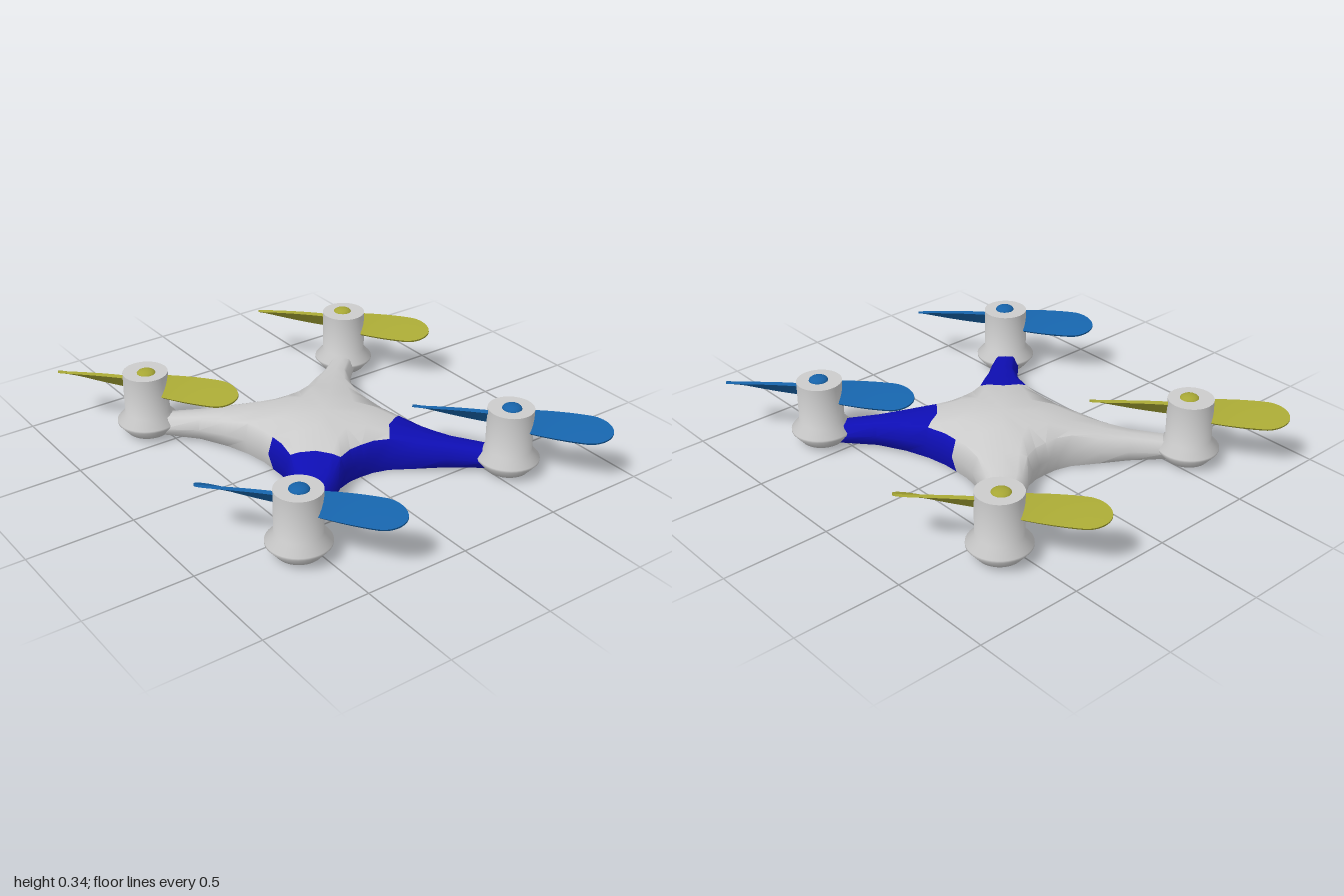
import * as THREE from 'three';
import { toCreasedNormals } from 'three/addons/utils/BufferGeometryUtils.js';

const mat = (color) => new THREE.MeshStandardMaterial({ color, side: THREE.DoubleSide });
const grey = mat(0xcccccc), blue = mat(0x0e0eb4), yellow = mat(0xa6a634), lightBlue = mat(0x1662a8);

function named(geometry, material, name) {
  const mesh = new THREE.Mesh(geometry, material);
  mesh.name = name;
  return mesh;
}

// One quadrant of the shell: inner edge A, ridge C, outer edge B (x, z), then heights
const rows = [
  // A          C             B             top   edge   mid   low   bottom
  [0, .312,     0, 0,         .307, 0,      .22,  .17,   .09,  .002, 0],
  [.06, .315,   .1, .1,       .307, .07,    .217, .17,   .09,  .002, 0],
  [.12, .335,   .205, .225,   .325, .16,    .18,  .167,  .09,  .005, .002],
  [.22, .412,   .295, .335,   .368, .26,    .157, .145,  .085, .014, .007],
  [.33, .488,   .39, .435,    .44, .385,    .135, .122,  .078, .021, .013],
  [.46, .595,   .52, .56,     .565, .515,   .112, .1,    .065, .028, .02],
];

// Closed cross-section: over the top from A to B, then back underneath
function section([ax, az, cx, cz, bx, bz, top, edge, mid, low, bottom]) {
  const toRidge = (x, z) => (v, y) => new THREE.Vector3(x + (cx - x) * v, y, z + (cz - z) * v);
  const inset = (x, z) => Math.min(.3, .025 / Math.hypot(x - cx, z - cz));
  const a = toRidge(ax, az), b = toRidge(bx, bz);
  const ia = inset(ax, az), ib = inset(bx, bz);
  const shoulder = edge + .8 * (top - edge), belly = bottom + .15 * (low - bottom);
  return [
    a(0, mid), a(ia, edge), a(.45, shoulder), a(1, top), b(.45, shoulder), b(ib, edge),
    b(0, mid), b(ib, low), b(.45, belly), b(1, bottom), a(.45, belly), a(ia, low),
  ];
}

function buildShell() {
  const greyTris = [], blueTris = [];
  const sections = rows.map(section);
  for (const sx of [1, -1]) for (const sz of [1, -1]) {
    for (let i = 0; i < sections.length - 1; i++) for (let j = 0; j < 12; j++) {
      // The hub of the shell is hollow and open underneath
      if (i < 2 && j >= 7 && j <= 10) continue;
      const k = (j + 1) % 12;
      const quad = [sections[i][j], sections[i + 1][j], sections[i + 1][k], sections[i][k]];
      if (sx * sz < 0) quad.reverse();
      const deck = i < 2 && j >= 1 && j <= 4;
      const out = sz > 0 && !deck ? blueTris : greyTris;
      for (const n of [0, 1, 2, 0, 2, 3]) out.push(quad[n].x * sx, quad[n].y, quad[n].z * sz);
    }
  }
  // Normals are found on the whole shell, then the two colours are split
  const whole = new THREE.BufferGeometry();
  whole.setAttribute('position', new THREE.Float32BufferAttribute([...greyTris, ...blueTris], 3));
  const shaded = toCreasedNormals(whole, .95);
  const part = (from, to) => {
    const g = new THREE.BufferGeometry();
    for (const key of ['position', 'normal']) {
      g.setAttribute(key, new THREE.BufferAttribute(shaded.attributes[key].array.slice(from, to), 3));
    }
    return g;
  };
  const split = greyTris.length;
  return [
    named(part(0, split), grey, 'bodyShell'),
    named(part(split, split + blueTris.length), blue, 'frontArmShell'),
  ];
}

// Motor housing with a flared foot
function housingGeometry() {
  const profile = [[0, .022], [.1, .022], [.143, .073], [.143, .083], [.105, .125], [.105, .325], [0, .325]];
  return toCreasedNormals(new THREE.LatheGeometry(profile.map(([r, y]) => new THREE.Vector2(r, y)), 40), 1);
}

// Twisted blade, widest near its rounded tip, pointing along +x
function bladeGeometry() {
  const g = new THREE.BoxGeometry(1, 1, 1, 28, 1, 6);
  const p = g.attributes.position;
  for (let i = 0; i < p.count; i++) {
    const t = Math.sin((p.getX(i) + .5) * Math.PI / 2);
    const round = Math.sqrt(Math.max(0, 1 - Math.max(0, (t - .75) / .25) ** 2));
    const chord = (.095 + .045 * Math.sin(t * Math.PI * .6)) * round;
    const pitch = .95 - .5 * t;
    const z = p.getZ(i) * chord, y = p.getY(i) * (.018 - .008 * t);
    p.setXYZ(i, .02 + .43 * t, y * Math.cos(pitch) - z * Math.sin(pitch), z * Math.cos(pitch) + y * Math.sin(pitch));
  }
  return toCreasedNormals(g, .7);
}

export function createModel() {
  const model = new THREE.Group();
  model.name = 'quadcopter';
  model.add(...buildShell());

  const housing = housingGeometry(), blade = bladeGeometry();
  const cap = new THREE.SphereGeometry(.045, 24, 8, 0, Math.PI * 2, 0, Math.PI / 2).scale(1, .5, 1);

  for (const sx of [1, -1]) for (const sz of [1, -1]) {
    const label = (sz > 0 ? 'front' : 'back') + (sx > 0 ? 'Left' : 'Right');
    const color = sz > 0 ? lightBlue : yellow;
    const rotor = new THREE.Group();
    rotor.name = label + 'Rotor';
    rotor.position.set(sx * .573, 0, sz * .625);
    rotor.add(named(housing, grey, label + 'MotorHousing'));

    const propeller = new THREE.Group();
    propeller.name = label + 'Propeller';
    propeller.position.set(0, sz > 0 ? 0 : -.004, sz > 0 ? .005 : -sx * .01);
    for (const turn of [0, Math.PI]) {
      const b = named(blade, color, label + 'Blade');
      b.position.y = .268;
      b.rotation.y = turn - .91;
      propeller.add(b);
    }
    const spinner = named(cap, color, label + 'SpinnerCap');
    spinner.position.y = .323;
    propeller.add(spinner);
    rotor.add(propeller);
    model.add(rotor);
  }
  return model;
}
